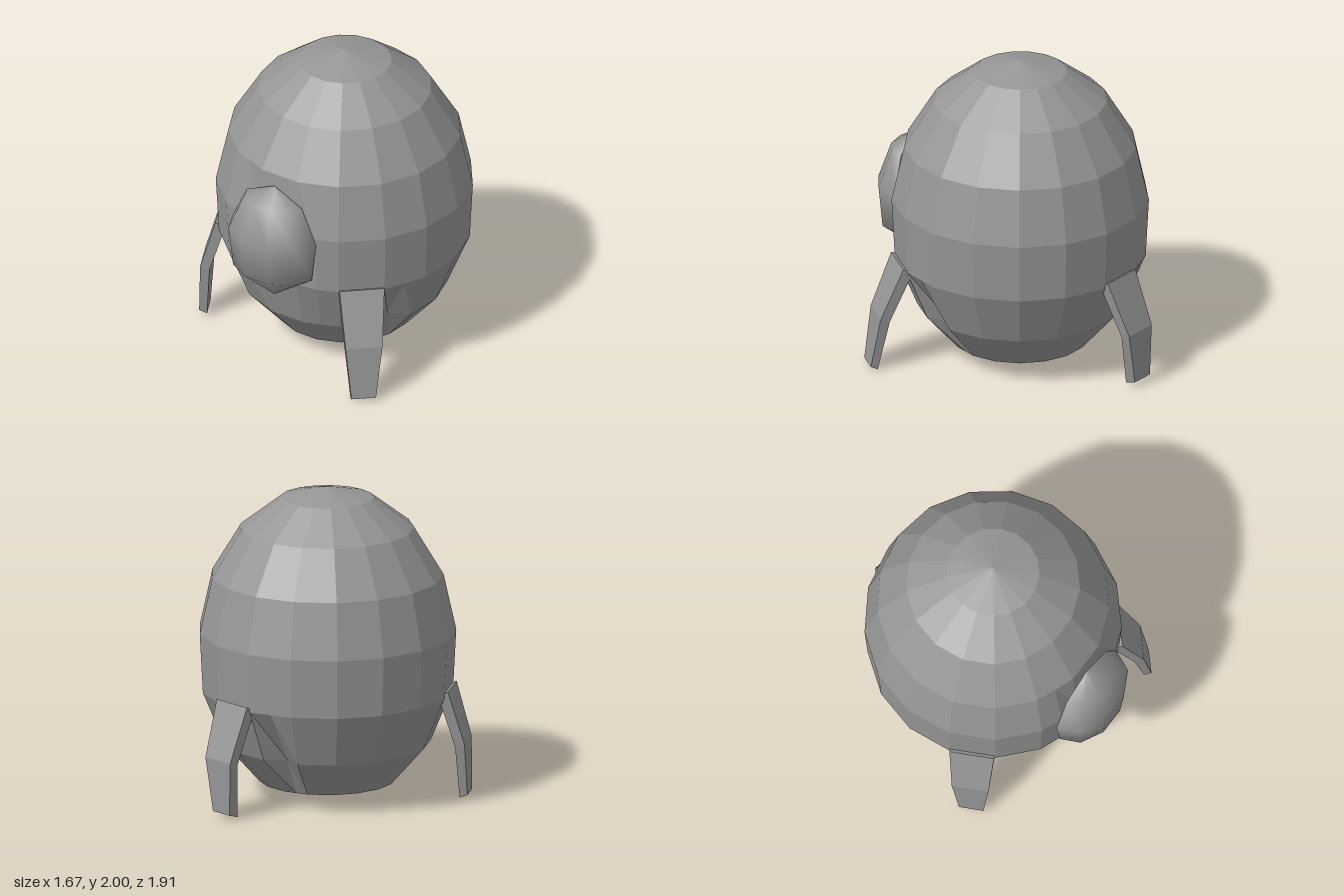
import * as THREE from 'three';

const SIDES = 17;
const CENTRE = new THREE.Vector3(0.025, 0, -0.01);
const v2 = (p) => new THREE.Vector2(p[0], p[1]);
const faceted = new THREE.MeshStandardMaterial({ color: 0x969696, flatShading: true });
const smooth = new THREE.MeshStandardMaterial({ color: 0x969696, side: THREE.DoubleSide });

// Each leg grows out of one hull facet
const LEGS = {
  backLeg: { facet: 0, drop: 0.01, knee: 0.94, footIn: 0.865, footOut: 0.935, shift: -0.045 },
  frontLeftLeg: { facet: 6, drop: 0.025, knee: 0.945, footIn: 0.95, footOut: 0.995, shift: 0.015 },
  frontRightLeg: { facet: 11, drop: 0, knee: 0.905, footIn: 0.865, footOut: 0.915, shift: -0.015 },
};

// Faceted egg-shaped hull, cut flat behind the window and dented under the legs
function createHull() {
  const profile = [[0, 0.1], [0.435, 0.1], [0.655, 0.35], [0.795, 0.69], [0.815, 1.07],
    [0.735, 1.43], [0.55, 1.735], [0.295, 1.93], [0, 2]].map(v2);
  const geometry = new THREE.LatheGeometry(profile, SIDES * 2, Math.PI);
  const pos = geometry.attributes.position;
  const dented = Object.values(LEGS).map((leg) => leg.facet * 2 + 1);
  for (let i = 0; i < pos.count; i++) {
    const column = Math.floor(i / profile.length), ring = i % profile.length;
    // odd columns lie in the middle of a flat facet
    let scale = column % 2 ? Math.cos(Math.PI / SIDES) : 1;
    if (ring === 2 && dented.includes(column)) scale *= 0.86;
    pos.setX(i, pos.getX(i) * scale);
    pos.setZ(i, Math.min(pos.getZ(i) * scale, 0.75));
  }
  const hull = new THREE.Mesh(geometry, faceted);
  hull.name = 'hull';
  hull.position.copy(CENTRE);
  return hull;
}

// Smooth half-round window bulging from the front
function createWindow() {
  const profile = [[0, 0.56], [0.287, 0.76], [0.32, 1.03], [0.21, 1.265], [0, 1.36]].map(v2);
  const pane = new THREE.Mesh(new THREE.LatheGeometry(profile, 5, -Math.PI / 2, Math.PI), smooth);
  pane.name = 'window';
  pane.scale.z = 0.72;
  pane.position.z = 0.737;
  return pane;
}

// Bent, tapering leg; local x points outwards
function createLeg({ facet, drop, knee, footIn, footOut, shift }) {
  // each section: inner x, inner y, outer x, outer y, half width, sideways shift
  const sections = [
    [0.74, 0.71, 0.805, 0.735, 0.143, 0],
    [knee - 0.06, 0.37, knee, 0.39, 0.117, shift * 0.4],
    [footIn, 0.03, footOut, 0.05, 0.078, shift],
  ];
  const points = sections.flatMap(([xi, yi, xo, yo, w, s]) => [
    [xi, yi - drop, s - w], [xo, yo - drop, s - w], [xo, yo - drop, s + w], [xi, yi - drop, s + w],
  ]);
  const index = [0, 3, 2, 0, 2, 1, 8, 9, 10, 8, 10, 11];
  for (let s = 0; s < 2; s++) {
    for (let j = 0; j < 4; j++) {
      const a = s * 4 + j, b = s * 4 + (j + 1) % 4;
      index.push(a, b, b + 4, a, b + 4, a + 4);
    }
  }
  const geometry = new THREE.BufferGeometry();
  geometry.setAttribute('position', new THREE.Float32BufferAttribute(points.flat(), 3));
  geometry.setIndex(index);
  geometry.computeVertexNormals();
  const leg = new THREE.Mesh(geometry, faceted);
  leg.position.copy(CENTRE);
  leg.rotation.y = Math.PI / 2 - (facet + 0.5) * Math.PI * 2 / SIDES;
  return leg;
}

export function createModel() {
  const model = new THREE.Group();
  model.name = 'pod';
  model.add(createHull(), createWindow());
  for (const [name, options] of Object.entries(LEGS)) {
    const leg = createLeg(options);
    leg.name = name;
    model.add(leg);
  }
  return model;
}
